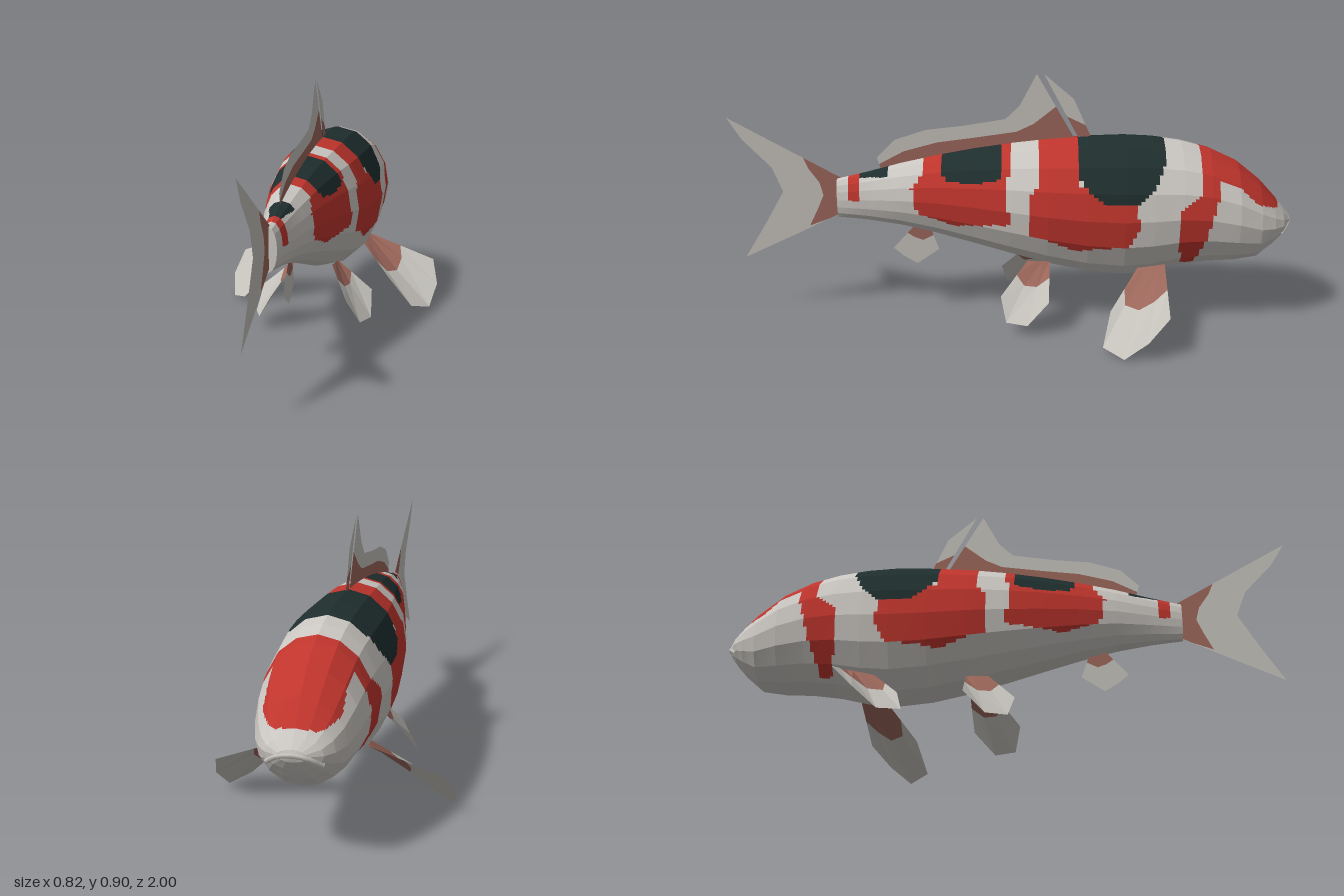
import * as THREE from 'three';

const mat = (name, color, side = THREE.FrontSide) => {
  const m = new THREE.MeshStandardMaterial({ color, side });
  m.name = name;
  return m;
};

// Body stations: z, bottom y, top y, half width
const STATIONS = [
  [-0.99, 0.36, 0.40, 0.045], [-0.965, 0.325, 0.43, 0.09], [-0.93, 0.285, 0.47, 0.118],
  [-0.88, 0.24, 0.525, 0.143], [-0.8, 0.226, 0.59, 0.165], [-0.7, 0.22, 0.638, 0.176],
  [-0.6, 0.205, 0.665, 0.184], [-0.5, 0.18, 0.68, 0.191], [-0.4, 0.168, 0.685, 0.194],
  [-0.27, 0.18, 0.68, 0.19], [-0.13, 0.21, 0.67, 0.178], [0, 0.245, 0.655, 0.156],
  [0.13, 0.282, 0.635, 0.13], [0.26, 0.318, 0.61, 0.104], [0.39, 0.348, 0.58, 0.078],
  [0.51, 0.365, 0.547, 0.05], [0.62, 0.375, 0.52, 0.027],
];
const SIDES = 16;

// Markings as (z, y) outlines, mirrored on both flanks; later ones cover earlier ones
const MARKINGS = [
  ['red', [[-0.65, 1], [-0.66, 0.52], [-0.59, 0.46], [-0.595, 0.24], [-0.645, 0.24], [-0.69, 0.38],
    [-0.72, 0.5], [-0.73, 0.56], [-0.8, 0.53], [-0.86, 0.47], [-0.94, 0.44], [-0.955, 0.46], [-0.955, 1]]],
  ['red', [[-0.07, 0.36], [-0.06, 0.5], [-0.1, 0.55], [-0.1, 1], [-0.24, 1], [-0.24, 0.55],
    [-0.43, 0.53], [-0.45, 0.4], [-0.41, 0.33], [-0.22, 0.31], [-0.1, 0.36]]],
  ['red', [[0, 0.4], [0.02, 0.52], [0, 0.6], [0, 1], [0.34, 1], [0.31, 0.56], [0.35, 0.51], [0.33, 0.42], [0.2, 0.38]]],
  ['red', [[0.54, 0.45], [0.54, 0.55], [0.585, 0.55], [0.58, 0.45]]],
  ['black', [[-0.235, 1], [-0.235, 0.58], [-0.28, 0.52], [-0.33, 0.49], [-0.45, 0.495],
    [-0.5, 0.54], [-0.54, 0.63], [-0.55, 1]]],
  ['black', [[0.03, 1], [0.03, 0.56], [0.13, 0.54], [0.23, 0.54], [0.25, 0.6], [0.24, 1]]],
  ['black', [[0.44, 0.54], [0.44, 1], [0.535, 1], [0.535, 0.53]]],
];

function inside(z, y, poly) {
  let hit = false;
  poly.forEach(([z1, y1], i) => {
    const [z2, y2] = poly[(i + 1) % poly.length];
    if ((y1 > y) !== (y2 > y) && z < z1 + ((y - y1) / (y2 - y1)) * (z2 - z1)) hit = !hit;
  });
  return hit;
}

function colourAt(z, y) {
  let c = 'white';
  for (const [name, poly] of MARKINGS) if (inside(z, y, poly)) c = name;
  return c;
}

function geometry(points) {
  const g = new THREE.BufferGeometry().setFromPoints(points);
  g.computeVertexNormals();
  return g;
}

const quad = (list, a, b, c, d) => list.push(a, b, c, a, c, d);
const V = (x, y, z) => new THREE.Vector3(x, y, z);

export function createModel() {
  const group = new THREE.Group();
  const mats = {
    white: mat('white skin', 0xcbc7c2),
    red: mat('red skin', 0xc0352d),
    black: mat('black skin', 0x1f2e2e),
  };
  const finPale = mat('pale fin', 0xc4c1bb, THREE.DoubleSide);
  const finRed = mat('reddish fin', 0x9b665a, THREE.DoubleSide);

  const add = (name, geo, material, parent = group) => {
    const m = new THREE.Mesh(geo, material);
    m.name = name;
    parent.add(m);
    return m;
  };

  // Faceted body, each facet cut into small cells sorted by marking colour
  const rings = STATIONS.map(([z, lo, hi, w]) => Array.from({ length: SIDES + 1 }, (_, j) => {
    const a = (j / SIDES) * Math.PI * 2;
    return V(Math.sin(a) * w, (lo + hi) / 2 + Math.cos(a) * (hi - lo) / 2, z);
  }));
  const cells = { white: [], red: [], black: [] };
  const N = 8;
  for (let i = 0; i < rings.length - 1; i++) {
    for (let j = 0; j < SIDES; j++) {
      const at = (u, v) => rings[i][j].clone().lerp(rings[i + 1][j], u)
        .lerp(rings[i][j + 1].clone().lerp(rings[i + 1][j + 1], u), v);
      for (let s = 0; s < N; s++) {
        for (let t = 0; t < N; t++) {
          const mid = at((s + 0.5) / N, (t + 0.5) / N);
          quad(cells[colourAt(mid.z, mid.y)], at(s / N, t / N), at((s + 1) / N, t / N),
            at((s + 1) / N, (t + 1) / N), at(s / N, (t + 1) / N));
        }
      }
    }
  }
  // Snout and tail root caps
  const nose = V(0, 0.38, -0.997), root = V(0, 0.447, 0.62), last = rings[rings.length - 1];
  for (let j = 0; j < SIDES; j++) {
    cells.white.push(nose, rings[0][j], rings[0][j + 1]);
    cells.white.push(root, last[j + 1], last[j]);
  }
  for (const c of Object.keys(cells)) add(c + 'Body', geometry(cells[c]), mats[c]);

  // Upper lip
  const lip = new THREE.CatmullRomCurve3([
    V(-0.085, 0.345, -0.955), V(-0.045, 0.375, -0.985), V(0, 0.383, -0.99),
    V(0.045, 0.375, -0.985), V(0.085, 0.345, -0.955)]);
  add('upperLip', new THREE.TubeGeometry(lip, 8, 0.01, 5), mats.white);

  // Fin: rays from a root line to a tip line, reddish up to the given fraction
  function fin(name, rays, fraction) {
    const g = new THREE.Group();
    g.name = name;
    const inner = [], outer = [];
    const line = rays.map(([r, t]) => {
      const a = V(...r), b = V(...t);
      return [a, a.clone().lerp(b, fraction), b];
    });
    for (let i = 0; i < line.length - 1; i++) {
      const [a, b, c] = line[i], [d, e, f] = line[i + 1];
      quad(inner, a, b, e, d);
      quad(outer, b, c, f, e);
    }
    add(name + 'Base', geometry(inner), finRed, g);
    add(name + 'Web', geometry(outer), finPale, g);
    group.add(g);
  }
  const flat = (rays) => rays.map(([z1, y1, z2, y2]) => [[0, y1, z1], [0, y2, z2]]);

  // Dorsal fin: separate leading spine, then the sail
  fin('dorsalSpine', flat([[-0.285, 0.67, -0.22, 0.815], [-0.24, 0.67, -0.115, 0.905]]), 0.35);
  fin('dorsalFin', flat([
    [-0.225, 0.67, -0.09, 0.905], [-0.13, 0.66, -0.03, 0.79], [-0.06, 0.65, 0.02, 0.742],
    [0.09, 0.63, 0.17, 0.717], [0.22, 0.61, 0.3, 0.702], [0.35, 0.58, 0.41, 0.665],
    [0.46, 0.55, 0.475, 0.6]]), 0.5);

  // Forked tail
  fin('tailFin', flat([
    [0.59, 0.515, 1.0, 0.745], [0.59, 0.495, 0.95, 0.665], [0.59, 0.475, 0.85, 0.56],
    [0.59, 0.45, 0.815, 0.47], [0.59, 0.43, 0.88, 0.355], [0.59, 0.41, 0.965, 0.217],
    [0.59, 0.4, 0.76, 0.315]]), 0.36);

  // Anal fin
  fin('analFin', flat([
    [0.29, 0.335, 0.26, 0.25], [0.305, 0.335, 0.34, 0.195],
    [0.325, 0.335, 0.39, 0.225], [0.345, 0.345, 0.425, 0.255]]), 0.35);

  // Paired fins
  for (const [side, s] of [['left', 1], ['right', -1]]) {
    const mirror = (rays) => rays.map((ray) => ray.map(([x, y, z]) => [x * s, y, z]));
    fin(side + 'PectoralFin', mirror([
      [[0.13, 0.248, -0.545], [0.385, 0.155, -0.542]],
      [[0.13, 0.245, -0.525], [0.41, 0.075, -0.47]],
      [[0.128, 0.24, -0.5], [0.39, 0.003, -0.39]],
      [[0.125, 0.235, -0.475], [0.33, 0.02, -0.32]],
      [[0.12, 0.23, -0.45], [0.24, 0.115, -0.35]]]), 0.48);
    fin(side + 'PelvicFin', mirror([
      [[0.075, 0.235, -0.14], [0.205, 0.13, -0.135]],
      [[0.075, 0.235, -0.115], [0.215, 0.045, -0.06]],
      [[0.075, 0.235, -0.09], [0.187, 0.045, 0.015]],
      [[0.07, 0.235, -0.06], [0.14, 0.125, 0.035]]]), 0.4);
  }
  return group;
}
